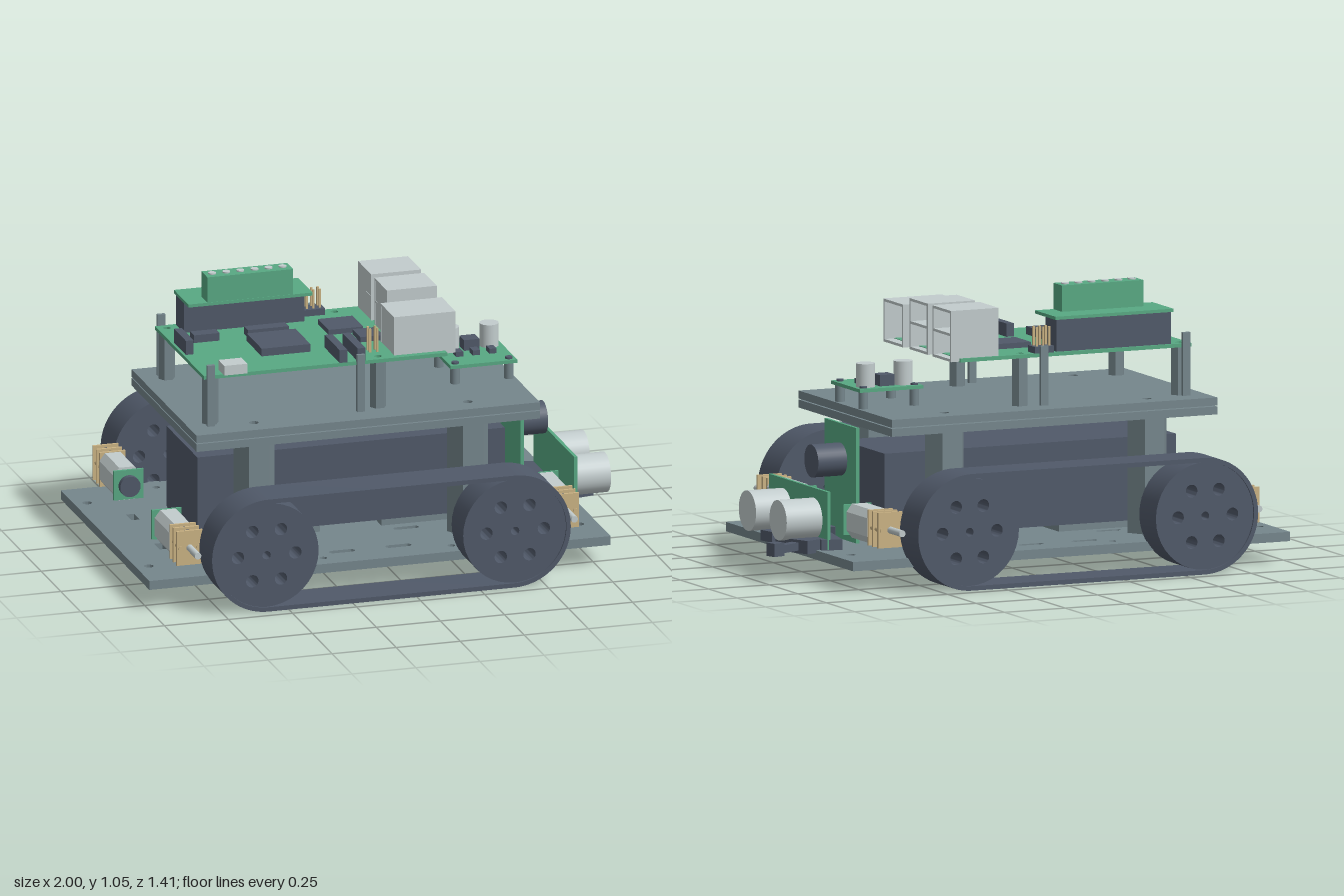
import * as THREE from 'three';
import { toCreasedNormals } from 'three/addons/utils/BufferGeometryUtils.js';

export function createModel() {
  const root = new THREE.Group();
  root.name = 'trackedRobot';
  const mat = (name, color) => Object.assign(new THREE.MeshStandardMaterial({ color }), { name });
  const plate = mat('plateGrey', 0x75868c);
  const dark = mat('darkGrey', 0x505969);
  const green = mat('boardGreen', 0x58a983);
  const silver = mat('silver', 0xc2cccd);
  const gold = mat('brass', 0xcbb384);

  const add = (name, geo, m, x = 0, y = 0, z = 0, parent = root) => {
    const mesh = new THREE.Mesh(geo, m);
    mesh.name = name;
    mesh.position.set(x, y, z);
    parent.add(mesh);
    return mesh;
  };
  // box given by its limits
  const box = (name, m, x0, x1, y0, y1, z0, z1, parent) =>
    add(name, new THREE.BoxGeometry(x1 - x0, y1 - y0, z1 - z0), m, (x0 + x1) / 2, (y0 + y1) / 2, (z0 + z1) / 2, parent);
  // upright post between two heights
  const post = (name, m, x, z, y0, y1, r, sides = 20) => {
    const g = new THREE.CylinderGeometry(r, r, y1 - y0, sides);
    if (sides === 6) g.rotateY(Math.PI / 6);
    return add(name, sides === 6 ? toCreasedNormals(g, 0.5) : g, m, x, (y0 + y1) / 2, z);
  };
  // cylinder lying along x
  const barrel = (name, m, x0, x1, y, z, r) =>
    add(name, new THREE.CylinderGeometry(r, r, x1 - x0, 32).rotateZ(Math.PI / 2), m, (x0 + x1) / 2, y, z);
  const extrude = (shape, depth) =>
    toCreasedNormals(new THREE.ExtrudeGeometry(shape, { depth, bevelEnabled: false, curveSegments: 20 }), 0.6);
  const rect = (x0, x1, y0, y1, P = THREE.Shape) => new P()
    .moveTo(x0, y0).lineTo(x1, y0).lineTo(x1, y1).lineTo(x0, y1).closePath();
  // stadium outline, half length l along x, radius r
  const stadium = (cx, cy, l, r, P = THREE.Path) => new P()
    .moveTo(cx - l, cy - r).lineTo(cx + l, cy - r)
    .absarc(cx + l, cy, r, -Math.PI / 2, Math.PI / 2, false).lineTo(cx - l, cy + r)
    .absarc(cx - l, cy, r, Math.PI / 2, Math.PI * 1.5, false);
  const round = (x, y, r) => new THREE.Path().absarc(x, y, r, 0, Math.PI * 2, false);
  const flat = (shape, t) => extrude(shape, t).rotateX(-Math.PI / 2);

  // base plate with slots and bolt holes
  const base = rect(-1, 0.8, -0.56, 0.56);
  for (const s of [-1, 1]) {
    for (const x of [-0.95, 0.73]) base.holes.push(round(x, s * 0.39, 0.018));
    for (const x of [-0.21, 0.01]) base.holes.push(stadium(x, s * 0.435, 0.035, 0.015));
    for (const x of [-0.4, 0.1]) base.holes.push(stadium(x, s * 0.24, 0.035, 0.014));
    for (const x of [-0.65, -0.3, 0.2, 0.5]) base.holes.push(round(x, s * 0.49, 0.014));
    base.holes.push(new THREE.Path().moveTo(-0.853, s * 0.18 - 0.035).lineTo(-0.82, s * 0.18 - 0.035)
      .lineTo(-0.82, s * 0.18 + 0.035).lineTo(-0.853, s * 0.18 + 0.035).closePath());
  }
  add('basePlate', flat(base, 0.035), plate, 0, 0.08, 0);
  for (let i = 0; i < 4; i++) box('sensorPin', dark, 0.27, 0.33, 0.065, 0.08, -0.105 + i * 0.028, -0.095 + i * 0.028);

  // battery case on two pads
  box('batteryPad', plate, -0.7, -0.22, 0.115, 0.14, -0.19, 0.19);
  box('batteryPad', plate, 0.02, 0.5, 0.115, 0.14, -0.19, 0.19);
  box('batteryCase', dark, -0.7, 0.5, 0.14, 0.455, -0.195, 0.195);

  // pillars and double upper deck
  const deck = rect(-0.77, 0.57, -0.41, 0.41);
  for (const x of [-0.52, 0.315]) for (const z of [-0.325, 0.325]) {
    post('pillar', plate, x, z, 0.115, 0.55, 0.08, 6);
    deck.holes.push(round(x, z, 0.018));
  }
  add('lowerDeck', flat(deck, 0.03), plate, 0, 0.552, 0);
  add('upperDeck', flat(deck, 0.03), plate, 0, 0.586, 0);

  // tracks and wheels
  for (const s of [-1, 1]) {
    const track = new THREE.Group();
    track.name = s > 0 ? 'leftTrack' : 'rightTrack';
    root.add(track);
    const belt = stadium(-0.1, 0.22, 0.48, 0.22, THREE.Shape);
    belt.holes.push(stadium(-0.1, 0.22, 0.48, 0.203));
    add('belt', extrude(belt, 0.16), dark, 0, 0, s * 0.625 - 0.08, track);
    const wheel = new THREE.Shape().absarc(0, 0, 0.203, 0, Math.PI * 2, false);
    wheel.holes.push(round(0, 0, 0.016));
    for (let i = 0; i < 6; i++) {
      const a = i * Math.PI / 3;
      wheel.holes.push(round(0.112 * Math.cos(a), 0.112 * Math.sin(a), 0.024));
    }
    for (const x of [-0.585, 0.385]) add('wheel', extrude(wheel, 0.146), dark, x, 0.22, s * 0.625 - 0.073, track);
  }

  // gear motors: flattened body, encoder, gear plates, shaft
  for (const x of [-0.835, 0.635]) for (const s of [-1, 1]) {
    const motor = new THREE.Group();
    motor.name = 'motor';
    motor.position.set(x, 0.222, 0);
    if (s < 0) motor.rotation.y = Math.PI;
    root.add(motor);
    const body = new THREE.Shape().moveTo(-0.052, -0.035).lineTo(-0.03, -0.064).lineTo(0.03, -0.064)
      .lineTo(0.052, -0.035).lineTo(0.052, 0.035).lineTo(0.03, 0.064).lineTo(-0.03, 0.064).lineTo(-0.052, 0.035).closePath();
    add('motorBody', extrude(body, 0.18), silver, 0, 0, 0.26, motor);
    box('encoderBoard', green, -0.058, 0.058, -0.055, 0.06, 0.236, 0.246, motor);
    add('encoderMagnet', new THREE.CylinderGeometry(0.04, 0.04, 0.022, 24).rotateX(Math.PI / 2), dark, 0, 0, 0.225, motor);
    for (const z of [0.445, 0.485, 0.53]) box('gearPlate', gold, -0.05, 0.05, -0.067, 0.067, z - 0.005, z + 0.005, motor);
    for (const y of [-0.035, 0.035]) for (const z of [0.465, 0.508])
      add('gear', new THREE.CylinderGeometry(0.025, 0.025, 0.018, 16).rotateX(Math.PI / 2), y > 0 ? dark : gold, 0, y, z, motor);
    for (const px of [-0.035, 0.035])
      add('gearPin', new THREE.CylinderGeometry(0.009, 0.009, 0.1, 10).rotateX(Math.PI / 2), gold, px, 0, 0.49, motor);
    add('shaft', new THREE.CylinderGeometry(0.013, 0.013, 0.16, 14).rotateX(Math.PI / 2), silver, 0, 0, 0.56, motor);
  }

  // main computer board on posts
  const board = rect(-0.71, 0.24, -0.31, 0.31);
  for (const x of [-0.675, -0.02]) for (const z of [-0.275, 0.275]) {
    board.holes.push(round(x, z, 0.014));
    post('boardPost', plate, x, z, 0.616, 0.798, 0.032, 6);
  }
  add('mainBoard', flat(board, 0.014), green, 0, 0.798, 0);
  for (const z of [-0.315, 0.315]) {
    box('boardClip', plate, -0.115, -0.085, 0.616, 0.84, z - 0.008, z + 0.008);
    box('boardClip', plate, -0.7, -0.67, 0.616, 0.855, z - 0.008, z + 0.008);
  }
  const chips = [[-0.34, 0.055, 0.19, 0.19, 0.03], [-0.055, -0.085, 0.135, 0.135, 0.02], [0.01, 0.05, 0.09, 0.1, 0.02],
    [-0.34, -0.1, 0.16, 0.05, 0.03], [-0.58, -0.1, 0.1, 0.05, 0.03], [-0.685, -0.025, 0.03, 0.15, 0.055],
    [-0.165, 0.215, 0.03, 0.19, 0.05], [-0.095, 0.215, 0.03, 0.19, 0.05], [-0.105, -0.28, 0.08, 0.06, 0.025]];
  for (const [x, z, w, d, h] of chips) box('chip', dark, x - w / 2, x + w / 2, 0.812, 0.812 + h, z - d / 2, z + d / 2);
  for (const x of [-0.13, -0.105, -0.08]) for (const z of [-0.295, -0.267])
    box('headerPin', gold, x - 0.004, x + 0.004, 0.812, 0.91, z - 0.004, z + 0.004);
  for (const x of [-0.035, -0.007]) for (const z of [0.195, 0.222])
    box('headerPin', gold, x - 0.004, x + 0.004, 0.78, 0.905, z - 0.004, z + 0.004);
  box('powerSocket', silver, -0.635, -0.545, 0.812, 0.85, 0.25, 0.325);

  // hollow sockets opening forward
  for (const [x0, x1, z0, z1, top, split] of [[0.08, 0.275, -0.3, -0.135, 0.993, 1], [0.08, 0.275, -0.095, 0.065, 0.993, 1], [0.04, 0.28, 0.11, 0.285, 0.962, 0]]) {
    const frame = rect(z0, z1, 0.8, top);
    const t = 0.01, mid = split ? 0.897 : top - t;
    frame.holes.push(rect(z0 + t, z1 - t, 0.8 + t, mid, THREE.Path));
    if (split) frame.holes.push(rect(z0 + t, z1 - t, mid + t, top - t, THREE.Path));
    // shape x runs along z, extrusion runs along x
    const g = new THREE.ExtrudeGeometry(frame, { depth: x1 - x0, bevelEnabled: false })
      .applyMatrix4(new THREE.Matrix4().set(0, 0, -1, x1, 0, 1, 0, 0, 1, 0, 0, 0, 0, 0, 0, 1));
    add('socketShell', g, silver);
    box('socketBack', silver, x0 + 0.001, x0 + 0.05, 0.805, top - 0.005, z0 + 0.005, z1 - 0.005);
  }

  // raised terminal board
  box('stackHeader', dark, -0.63, -0.16, 0.812, 0.934, -0.3, -0.2);
  box('terminalBoard', green, -0.635, -0.15, 0.934, 0.946, -0.312, -0.13);
  box('terminalBlock', green, -0.56, -0.225, 0.946, 1.045, -0.208, -0.132);
  for (let i = 0; i < 6; i++) post('terminalScrew', silver, -0.53 + i * 0.055, -0.17, 1.04, 1.05, 0.015, 12);

  // small sensor board on the deck
  box('sensorBoard', green, 0.31, 0.57, 0.68, 0.693, -0.13, 0.125);
  for (const x of [0.335, 0.545]) for (const z of [-0.105, 0.1]) {
    post('sensorPost', plate, x, z, 0.616, 0.68, 0.018);
    post('sensorBolt', dark, x, z, 0.69, 0.7, 0.014);
  }
  for (const x of [0.365, 0.52]) post('capacitor', silver, x, -0.07, 0.693, 0.782, 0.036, 24);
  box('sensorChip', dark, 0.41, 0.47, 0.693, 0.735, -0.09, -0.03);
  for (const x of [0.375, 0.44, 0.505]) box('sensorChip', dark, x - 0.014, x + 0.014, 0.693, 0.712, -0.012, 0.03);

  // camera
  box('cameraBoard', green, 0.578, 0.591, 0.115, 0.55, -0.14, 0.14);
  barrel('cameraLens', dark, 0.591, 0.71, 0.415, 0, 0.062);

  // twin distance sensor
  box('distanceBoard', green, 0.75, 0.763, 0.116, 0.335, -0.255, 0.26);
  for (const z of [-0.135, 0.135]) barrel('distanceTube', silver, 0.763, 0.91, 0.222, z, 0.076);

  // brackets and cable ends under the distance sensor
  const bracket = (x, y, z, l, h, w, turn) => {
    add('bracket', new THREE.BoxGeometry(l, h, w), dark, x, y, z).rotation.y = turn;
  };
  bracket(0.72, 0.135, -0.13, 0.08, 0.04, 0.26, -0.2);
  bracket(0.67, 0.135, 0.12, 0.22, 0.04, 0.07, -0.6);
  bracket(0.81, 0.135, 0.06, 0.13, 0.04, 0.07, 0.2);
  bracket(0.81, 0.13, -0.15, 0.14, 0.05, 0.16, 0.4);
  bracket(0.9, 0.13, -0.21, 0.12, 0.03, 0.035, 0.45);
  bracket(0.968, 0.13, -0.235, 0.048, 0.05, 0.045, 0.3);
  return root;
}
